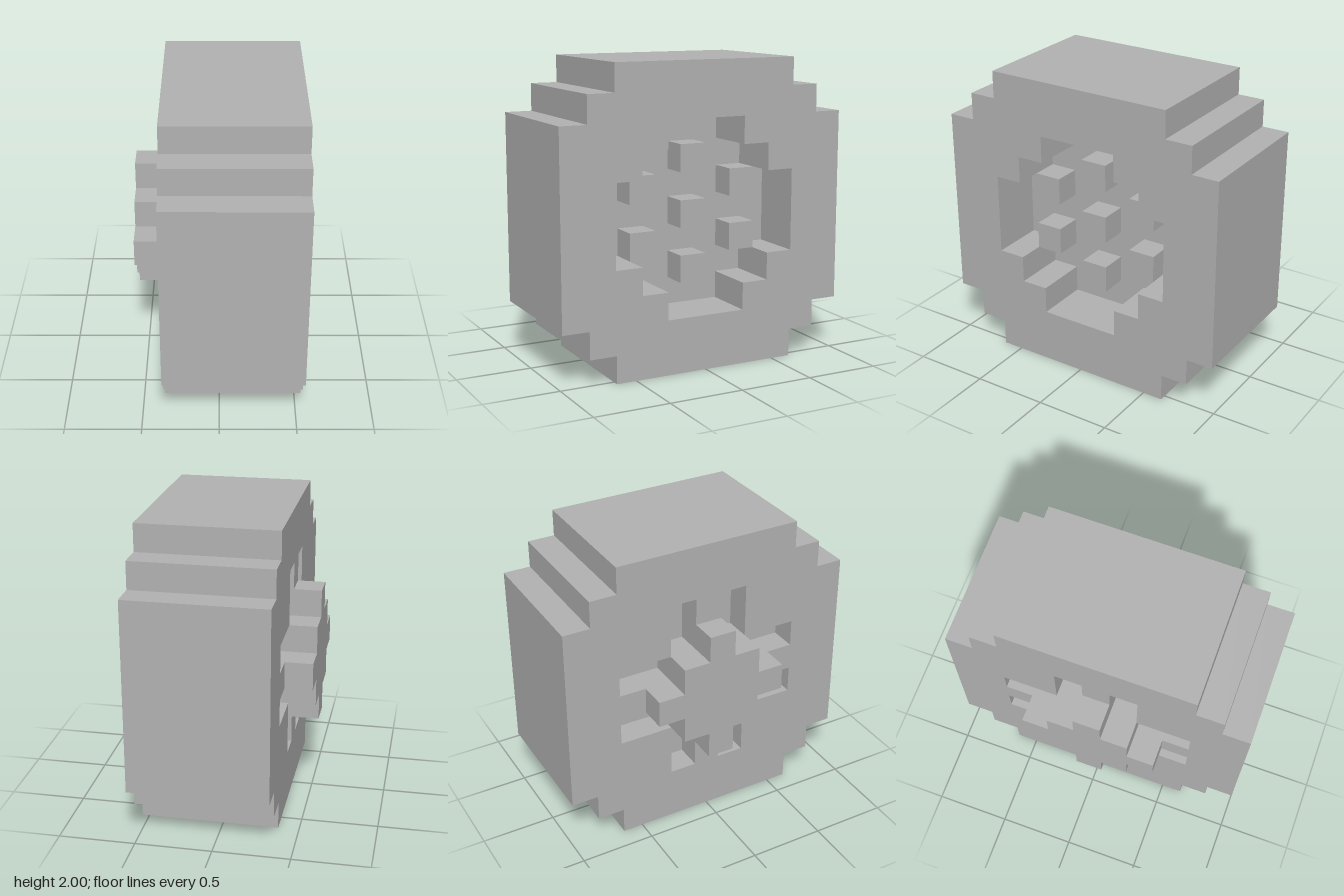
import * as THREE from 'three';

const U = 2 / 11; // one block

// Stepped round outline of radius r blocks: one quarter turned four times
function steppedRound(r, PathType = THREE.Shape) {
  const quarter = [[r, r - 2], [r - 1, r - 2], [r - 1, r - 1], [r - 2, r - 1], [r - 2, r]];
  const points = [];
  for (let i = 0; i < 4; i++) {
    for (const [a, b] of quarter) {
      const [x, y] = [[a, b], [-b, a], [-a, -b], [b, -a]][i];
      points.push(new THREE.Vector2(x * U, y * U));
    }
  }
  return new PathType(points);
}

export function createModel() {
  const group = new THREE.Group();
  const grey = new THREE.MeshStandardMaterial({ color: 0xb2b2b2 });
  grey.name = 'grey';

  const add = (name, geometry, x, y, z) => {
    const mesh = new THREE.Mesh(geometry, grey);
    mesh.name = name;
    mesh.position.set(x * U, 1 + y * U, z * U);
    group.add(mesh);
  };
  // Extrude an outline along x, from block x0 to block x1
  const slab = (name, shape, x0, x1) => {
    const geometry = new THREE.ExtrudeGeometry(shape, { depth: (x1 - x0) * U, bevelEnabled: false });
    add(name, geometry.rotateY(Math.PI / 2), x0, 0, 0);
  };
  const cube = new THREE.BoxGeometry(U, U, U);

  // Tyre with its stepped opening
  const tyre = steppedRound(5.5);
  tyre.holes.push(steppedRound(3.5, THREE.Path));
  slab('tyre', tyre, -2, 3);

  // Disc closing the opening, and the hub standing out on the right
  slab('wheelDisc', steppedRound(3.5), -1, 1);
  slab('hub', steppedRound(2.5), -3, -1);

  // Spokes joining hub and tyre, leaving eight slots
  for (const [y, z] of [[3, 0], [-3, 0], [0, 3], [0, -3]]) add('spoke', cube, -1.5, y, z);
  for (const y of [-2, 2]) for (const z of [-2, 2]) add('diagonalSpoke', cube, -1.5, y, z);

  // Lugs inside the recess on the left
  for (const y of [-2, 0, 2]) add('lug', cube, 1.5, y, 0);
  for (const y of [-1, 1]) for (const z of [-2, 2]) add('lug', cube, 1.5, y, z);

  return group;
}
